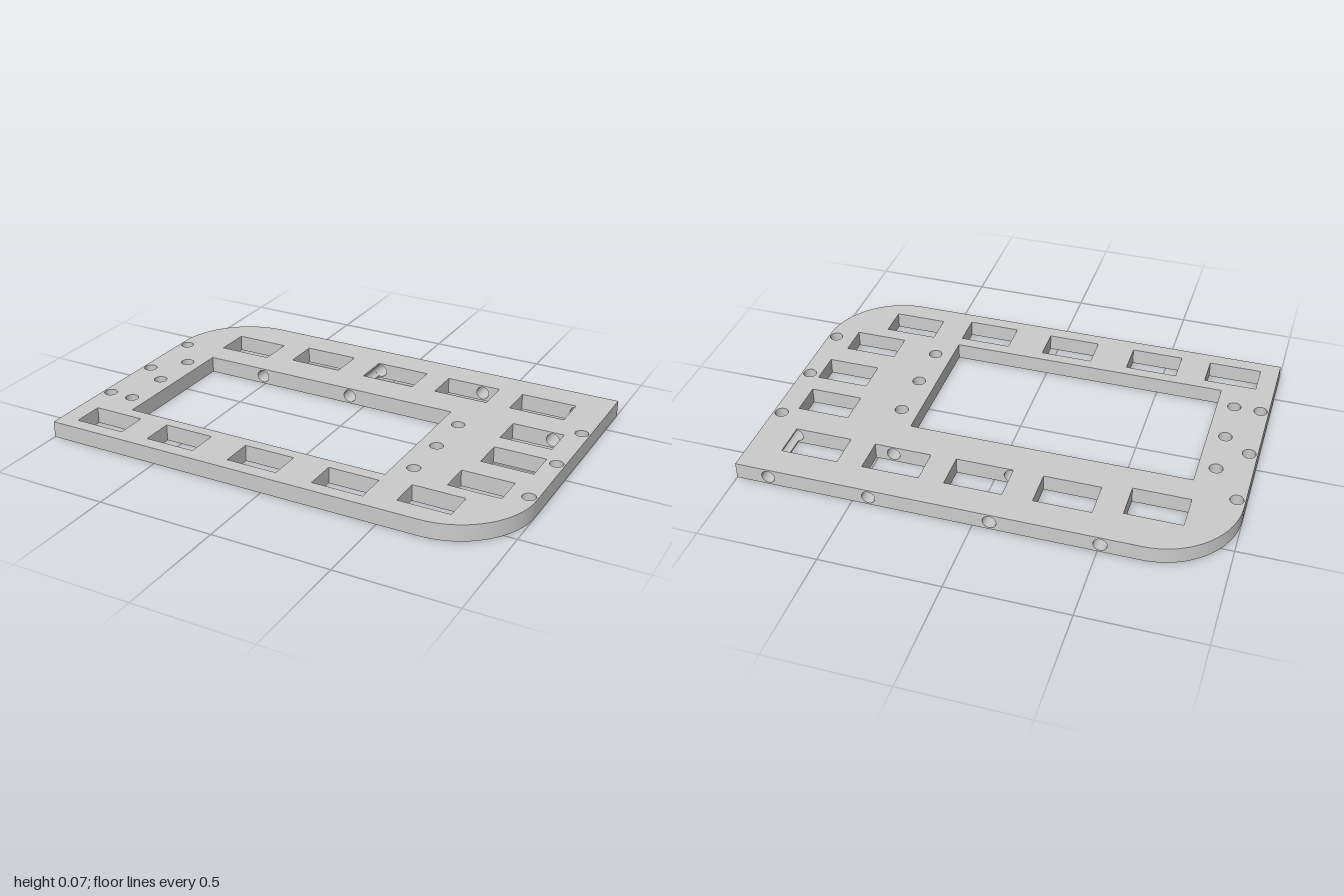
import * as THREE from 'three';
import { mergeGeometries } from 'three/addons/utils/BufferGeometryUtils.js';

const H = 0.07, MID = H / 2;          // plate thickness
const X = 1, Z = 0.65, CORNER = 0.33; // half size and corner radius
const R = 0.028;                      // radius of every round hole

// Rectangular openings: x0, x1, z0, z1
const windowRect = [-0.78, 0.412, -0.216, 0.404];
const slots = [
  [-0.797, -0.561, -0.489, -0.334], [-0.444, -0.206, -0.519, -0.365],
  [-0.08, 0.16, -0.519, -0.365], [0.267, 0.508, -0.519, -0.37], [0.615, 0.857, -0.519, -0.37],
  [0.684, 0.906, -0.238, -0.096], [0.695, 0.917, -0.008, 0.131],
  [0.658, 0.88, 0.233, 0.366], [0.54, 0.762, 0.428, 0.561],
  [-0.92, -0.698, 0.457, 0.591], [-0.57, -0.35, 0.453, 0.591],
  [-0.187, 0.035, 0.453, 0.591], [0.195, 0.414, 0.457, 0.594],
];

// Vertical screw holes: one x, three z values
const screws = [[-0.965, -0.285, 0.01, 0.305], [0.965, -0.285, 0.01, 0.305],
  [-0.853, -0.12, 0.093, 0.305], [0.488, -0.12, 0.093, 0.305]]
  .flatMap(([x, ...zs]) => zs.map((z) => [x, z]));

// Horizontal bores from the back edge: lined stretches, and troughs beside a slot
const bores = [
  { x: -0.51, end: -0.216, lined: [[-Z, -0.216]] },
  { x: -0.07, end: -0.216, lined: [[-Z, -0.519], [-0.365, -0.216]], trough: { edge: -0.08, side: -1, z: [-0.519, -0.365] } },
  { x: 0.43, end: -0.225, blind: true, lined: [[-Z, -0.519], [-0.37, -0.225]] },
  { x: 0.86, end: -0.238, lined: [[-Z, -0.519], [-0.37, -0.238]], trough: { edge: 0.857, side: 1, z: [-0.519, -0.37] } },
];

// Turns a surface inside out
function flip(g) {
  const i = g.index.array;
  for (let k = 0; k < i.length; k += 3) [i[k], i[k + 1]] = [i[k + 1], i[k]];
  const n = g.attributes.normal;
  for (let k = 0; k < n.array.length; k++) n.array[k] *= -1;
  return g;
}

// Upright wall from a to b, pierced or notched wherever a bore meets it
function wall(ax, az, bx, bz) {
  const L = Math.hypot(bx - ax, bz - az), dx = (bx - ax) / L, dz = (bz - az) / L;
  const shapes = [];
  const strip = (y0, y1) => shapes.push(new THREE.Shape(
    [[0, y0], [L, y0], [L, y1], [0, y1]].map(([u, y]) => new THREE.Vector2(u, y))));
  if (Math.abs(dx) > 0.5) {
    const hits = bores.filter((b) => az <= b.end + 1e-6).map((b) => (b.x - ax) * dx);
    const atEnd = hits.find((u) => Math.abs(u - L) < R);
    const atStart = hits.find((u) => Math.abs(u) < R);
    const s = new THREE.Shape().moveTo(0, 0).lineTo(L, 0);
    if (atEnd !== undefined) {
      const p = Math.acos((L - atEnd) / R);
      s.absarc(atEnd, MID, R, -p, p, true);
    }
    s.lineTo(L, H).lineTo(0, H);
    if (atStart !== undefined) {
      const p = Math.acos(-atStart / R);
      s.absarc(atStart, MID, R, p, -p, true);
    }
    s.lineTo(0, 0);
    for (const u of hits) {
      if (u > R && u < L - R) s.holes.push(new THREE.Path().absarc(u, MID, R, 0, Math.PI * 2, true));
    }
    shapes.push(s);
  } else {
    // A trough leaves only a strip above and below it
    const b = bores.find((q) => q.trough && Math.abs(q.trough.edge - ax) < 1e-6
      && Math.abs(Math.min(az, bz) - q.trough.z[0]) < 1e-6);
    if (b) {
      const h = Math.sqrt(R * R - (b.x - ax) ** 2);
      strip(0, MID - h);
      strip(MID + h, H);
    } else strip(0, H);
  }
  return new THREE.ShapeGeometry(shapes, 16).rotateY(Math.atan2(-dz, dx)).translate(ax, 0, az);
}

// Four walls facing into a rectangular opening
function liningOf([x0, x1, z0, z1]) {
  return mergeGeometries([wall(x0, z0, x1, z0), wall(x1, z0, x1, z1),
    wall(x1, z1, x0, z1), wall(x0, z1, x0, z0)]);
}

// Inner surface of a bore between two depths
function boreLining(x, [z0, z1], start = 0, sweep = Math.PI * 2) {
  return flip(new THREE.CylinderGeometry(R, R, z1 - z0, 32, 1, true, start, sweep))
    .rotateX(Math.PI / 2).translate(x, MID, (z0 + z1) / 2);
}

// Plan of the plate, drawn with y = -z
function plan() {
  const s = new THREE.Shape().moveTo(-X, -Z).lineTo(X - CORNER, -Z);
  s.absarc(X - CORNER, -Z + CORNER, CORNER, -Math.PI / 2, 0, false);
  s.lineTo(X, Z).lineTo(-X + CORNER, Z);
  s.absarc(-X + CORNER, Z - CORNER, CORNER, Math.PI / 2, Math.PI, false);
  s.lineTo(-X, -Z);
  for (const [x0, x1, z0, z1] of [windowRect, ...slots]) {
    s.holes.push(new THREE.Path().moveTo(x0, -z0).lineTo(x1, -z0).lineTo(x1, -z1).lineTo(x0, -z1).lineTo(x0, -z0));
  }
  for (const [x, z] of screws) s.holes.push(new THREE.Path().absarc(x, -z, R, 0, Math.PI * 2, true));
  return s;
}

export function createModel() {
  const group = new THREE.Group();
  const material = new THREE.MeshStandardMaterial({ color: 0xcccccc });
  const add = (name, geometry) => {
    const mesh = new THREE.Mesh(geometry, material);
    mesh.name = name;
    group.add(mesh);
  };

  // Top and bottom faces
  const face = new THREE.ShapeGeometry(plan(), 16).rotateX(-Math.PI / 2);
  add('topFace', face.clone().translate(0, H, 0));
  add('bottomFace', flip(face));

  // Outer edge: four straight walls and two opposite rounded corners
  const corner = (start, sx) => new THREE.CylinderGeometry(CORNER, CORNER, H, 16, 1, true, start, Math.PI / 2)
    .translate(sx * (X - CORNER), MID, sx * (Z - CORNER));
  add('outerEdge', mergeGeometries([
    wall(-X, Z, X - CORNER, Z), wall(X, Z - CORNER, X, -Z),
    wall(X, -Z, -X + CORNER, -Z), wall(-X, -Z + CORNER, -X, Z),
    corner(0, 1), corner(Math.PI, -1),
  ]));

  // Large window and the ring of slots
  add('windowLining', liningOf(windowRect));
  slots.forEach((s, i) => add(`slotLining${i + 1}`, liningOf(s)));

  // Vertical screw holes
  add('screwHoles', mergeGeometries(screws.map(([x, z]) =>
    flip(new THREE.CylinderGeometry(R, R, H, 32, 1, true)).translate(x, MID, z))));

  // Horizontal bores through the back bar
  bores.forEach((b, i) => {
    const parts = b.lined.map((span) => boreLining(b.x, span));
    if (b.trough) {
      const { edge, side, z } = b.trough;
      const half = Math.acos((edge - b.x) * side / R);
      parts.push(boreLining(b.x, z, side * Math.PI / 2 - half, half * 2));
    }
    if (b.blind) parts.push(new THREE.CircleGeometry(R, 32).rotateY(Math.PI).translate(b.x, MID, b.end));
    add(`backBore${i + 1}`, mergeGeometries(parts));
  });

  return group;
}
